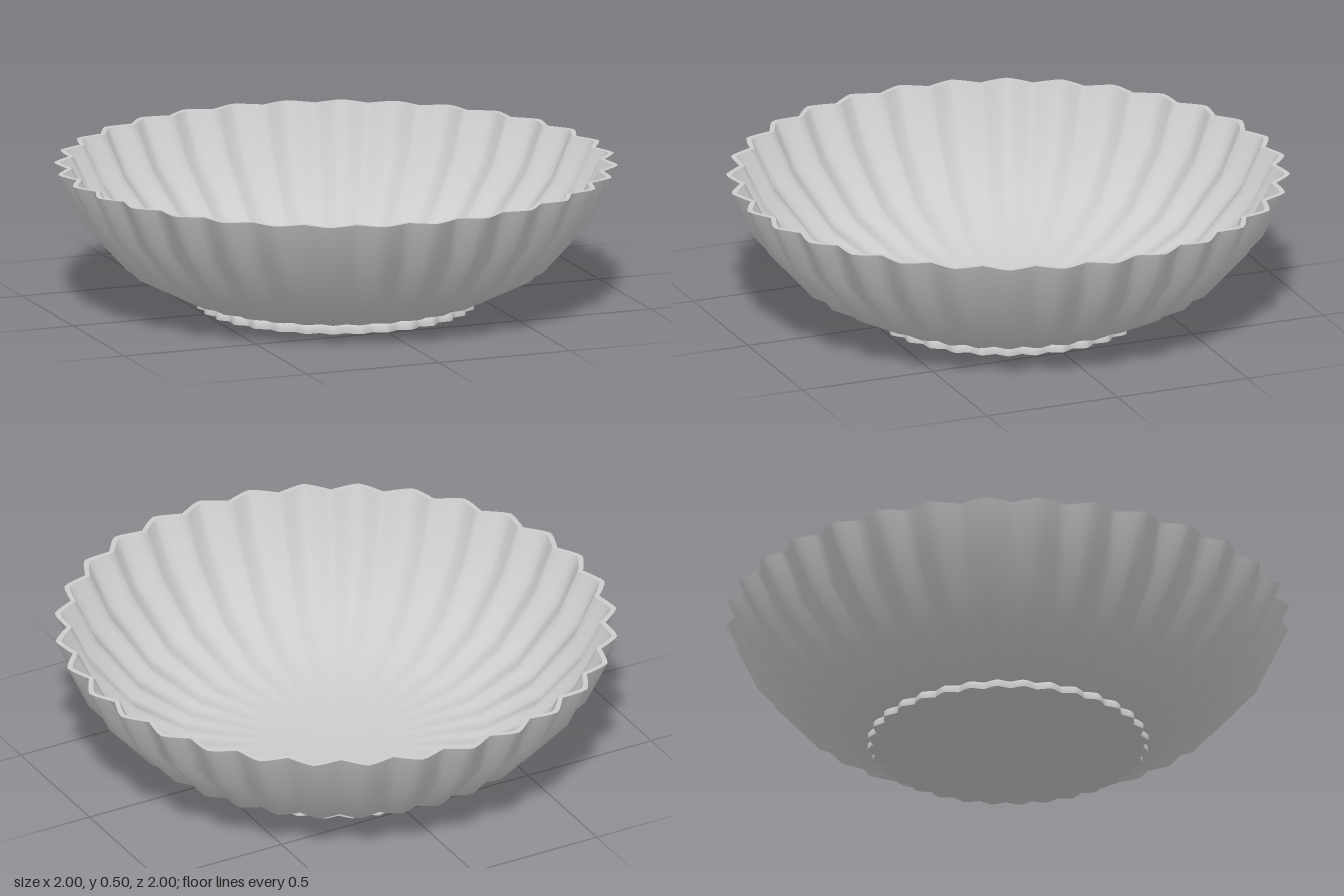
import * as THREE from 'three';
import { mergeVertices } from 'three/addons/utils/BufferGeometryUtils.js';

const FLUTES = 32;
const STEPS = 8; // samples across one flute
const DEPTH = 0.045; // groove depth as a share of the radius

// Radius factor round the bowl: blunted ridges, V-shaped grooves
function fluteScale(angle) {
  const turn = (angle / (Math.PI * 2)) * FLUTES;
  const t = Math.abs(turn - Math.round(turn));
  return 1 - DEPTH * (Math.max(0.08, 2 * t) - 0.08) / 0.92;
}

// Revolve a profile, pull it into flutes and smooth it without a seam
function flutedSurface(name, profile, material) {
  const points = profile.map(([r, y]) => new THREE.Vector2(r, y));
  let geometry = new THREE.LatheGeometry(points, FLUTES * STEPS);
  const pos = geometry.attributes.position;
  for (let i = 0; i < pos.count; i++) {
    const x = pos.getX(i), z = pos.getZ(i);
    const s = fluteScale(Math.atan2(x, z));
    pos.setXYZ(i, x * s, pos.getY(i), z * s);
  }
  geometry.deleteAttribute('normal');
  geometry.deleteAttribute('uv');
  geometry = mergeVertices(geometry, 1e-5);
  geometry.computeVertexNormals();
  const mesh = new THREE.Mesh(geometry, material);
  mesh.name = name;
  return mesh;
}

export function createModel() {
  const bowl = new THREE.Group();
  bowl.name = 'flutedBowl';
  const material = new THREE.MeshStandardMaterial({ color: 0xcccccc, side: THREE.DoubleSide });

  // Flat underside and the low foot
  bowl.add(flutedSurface('base', [[0, 0], [0.5, 0]], material));
  bowl.add(flutedSurface('foot', [[0.5, 0], [0.5, 0.02], [0.49, 0.03]], material));

  // Outer wall, from foot to rim
  bowl.add(flutedSurface('outerWall',
    [[0.49, 0.03], [0.55, 0.045], [0.75, 0.145], [0.92, 0.335], [1, 0.505]], material));

  // Thin flat rim
  bowl.add(flutedSurface('rim', [[1, 0.505], [0.98, 0.505]], material));

  // Inner wall and floor, from rim to centre
  bowl.add(flutedSurface('innerWall',
    [[0.98, 0.505], [0.9, 0.345], [0.735, 0.165], [0.54, 0.07], [0.3, 0.04], [0, 0.03]], material));

  return bowl;
}
